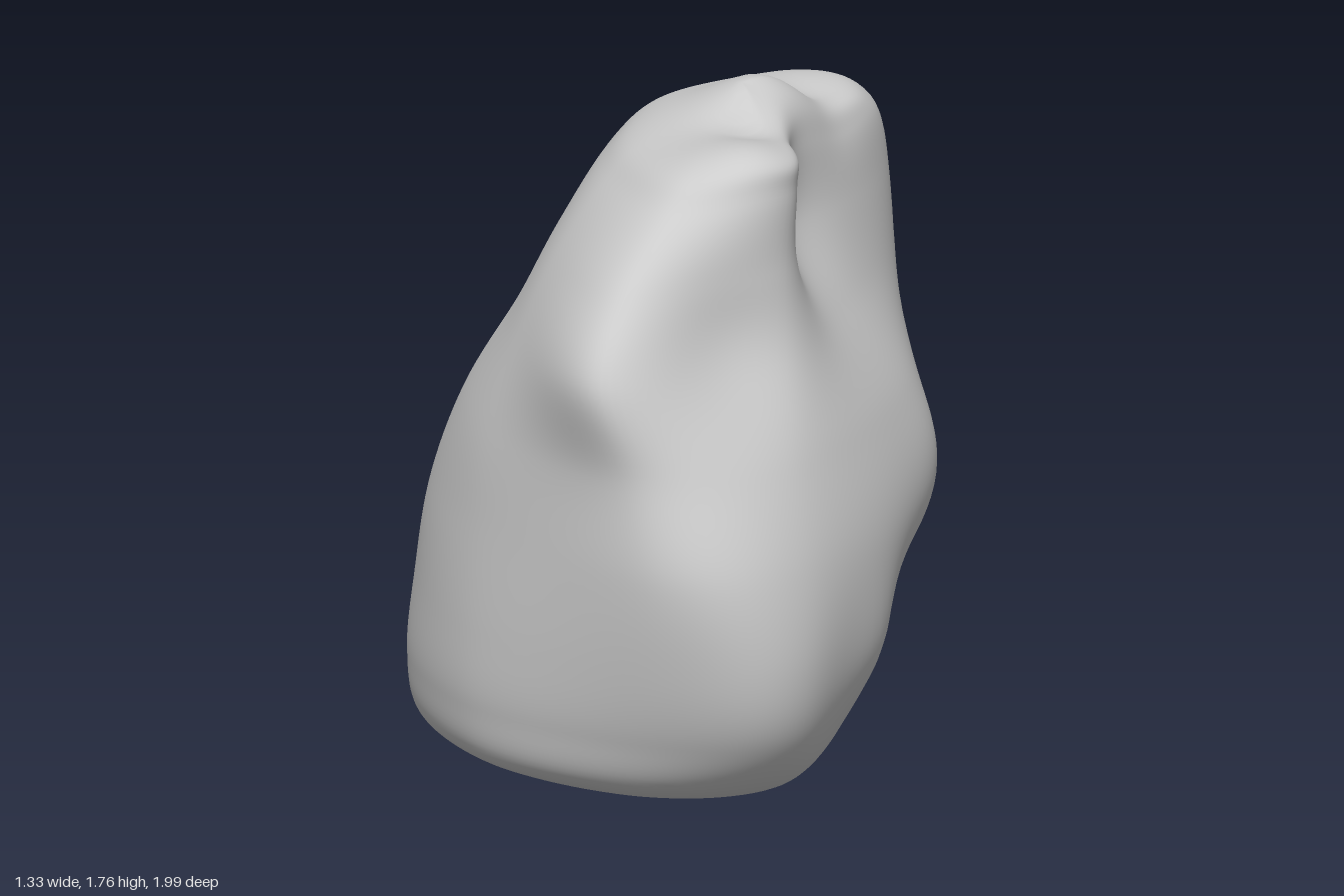
import * as THREE from 'three';
import { mergeVertices } from 'three/addons/utils/BufferGeometryUtils.js';

// Horizontal sections: [height, centre x, sideways shift of the front tip,
// then 8 radii going right -> front -> left -> back]
const SECTIONS = [
  [0.0, 0.03, 0, 0, 0, 0, 0, 0, 0, 0, 0],
  [0.006, 0.03, 0, 0.22, 0.28, 0.28, 0.28, 0.36, 0.26, 0.2, 0.2],
  [0.035, 0, 0.05, 0.45, 0.6, 0.56, 0.55, 0.78, 0.6, 0.42, 0.42],
  [0.1, 0, 0.1, 0.62, 0.9, 0.8, 0.8, 0.97, 0.81, 0.69, 0.62],
  [0.25, 0, 0.15, 0.74, 1.08, 0.9, 0.86, 1.01, 0.9, 0.93, 0.76],
  [0.45, 0, 0.17, 0.87, 1.14, 0.96, 0.86, 0.98, 0.92, 0.99, 0.88],
  [0.7, 0, 0.17, 0.97, 1.1, 0.99, 0.83, 0.92, 0.91, 0.98, 0.95],
  [0.95, 0, 0.1, 0.88, 0.98, 0.95, 0.78, 0.78, 0.81, 0.9, 0.92],
  [1.2, 0.05, -0.03, 0.6, 0.77, 0.95, 0.72, 0.63, 0.69, 0.78, 0.83],
  [1.4, 0.08, -0.03, 0.45, 0.67, 0.81, 0.61, 0.52, 0.58, 0.69, 0.75],
  [1.57, 0.12, 0, 0.34, 0.58, 0.62, 0.47, 0.43, 0.5, 0.6, 0.62],
  [1.655, 0.15, 0, 0.23, 0.47, 0.46, 0.34, 0.31, 0.35, 0.44, 0.43],
  [1.7, 0.18, 0, 0, 0, 0, 0, 0, 0, 0, 0],
];

// Soft swellings and hollows: [centre, spread, push]
const BUMPS = [
  [[0.22, 1.7, -0.06], 0.17, [0, 0.065, 0]],       // summit
  [[0.27, 1.63, 0.42], 0.15, [0.02, 0.045, 0.02]], // front knob
  [[0.24, 1.66, 0.17], 0.09, [0, -0.03, 0]],       // saddle between them
  [[0.36, 1.52, -0.56], 0.17, [0.01, 0.04, -0.02]],// rear shoulder
  [[0.3, 1.62, -0.26], 0.12, [-0.02, -0.04, 0]],   // dip before the shoulder
  [[0.36, 1.42, 0.15], 0.19, [-0.07, 0, 0]],       // gully on the right
  [[0.29, 1.25, 0.7], 0.2, [-0.02, 0, -0.05]],     // dent on the front
  [[0.55, 0.28, -0.04], 0.2, [-0.09, 0.02, 0]],    // undercut at the right foot
  [[0.58, 0.4, 0.38], 0.2, [0.04, 0, 0]],          // front right swelling
  [[0.64, 0.8, -0.2], 0.2, [0.02, 0, 0]],          // right bulge
  [[0.45, 1.0, -0.75], 0.16, [-0.03, 0, 0.03]],    // rear right groove
  [[-0.28, 1.2, -0.5], 0.16, [0.03, 0, 0.02]],     // rear left dimple
];

const AROUND = 128, UP = 120;

function rockGeometry() {
  const rings = SECTIONS.map(([y, cx, tip, ...radii]) => {
    const pts = radii.map((r, k) => {
      const a = (k / 8) * Math.PI * 2;
      const shift = k === 2 ? tip : k === 6 ? 0.08 * r : 0;
      return new THREE.Vector3(cx + shift + 0.67 * r * Math.cos(a), y, r * Math.sin(a));
    });
    return new THREE.CatmullRomCurve3(pts, true, 'catmullrom', 0.5);
  });

  const positions = [], index = [], p = new THREE.Vector3(), c = new THREE.Vector3();
  for (let i = 0; i < AROUND; i++) {
    const rib = new THREE.CatmullRomCurve3(
      rings.map((ring) => ring.getPoint(i / AROUND)), false, 'catmullrom', 0.5);
    for (let j = 0; j <= UP; j++) {
      rib.getPoint(j / UP, p);
      const q = p.clone();
      for (const [at, spread, push] of BUMPS) {
        const d = c.fromArray(at).distanceTo(p) / spread;
        q.addScaledVector(c.fromArray(push), Math.exp(-d * d));
      }
      positions.push(q.x, q.y, q.z);
      if (j < UP) {
        const a = i * (UP + 1) + j, b = ((i + 1) % AROUND) * (UP + 1) + j;
        if (j > 0) index.push(a, a + 1, b);
        if (j < UP - 1) index.push(b, a + 1, b + 1);
      }
    }
  }
  const geo = new THREE.BufferGeometry();
  geo.setAttribute('position', new THREE.Float32BufferAttribute(positions, 3));
  geo.setIndex(index);

  // Join the poles so the shading stays smooth
  const joined = mergeVertices(geo, 1e-5);
  joined.computeVertexNormals();
  return joined;
}

export function createModel() {
  const group = new THREE.Group();
  group.name = 'boulder';
  const rock = new THREE.Mesh(rockGeometry(), new THREE.MeshStandardMaterial({ color: 0xcccccc }));
  rock.name = 'rock';
  group.add(rock);
  return group;
}
